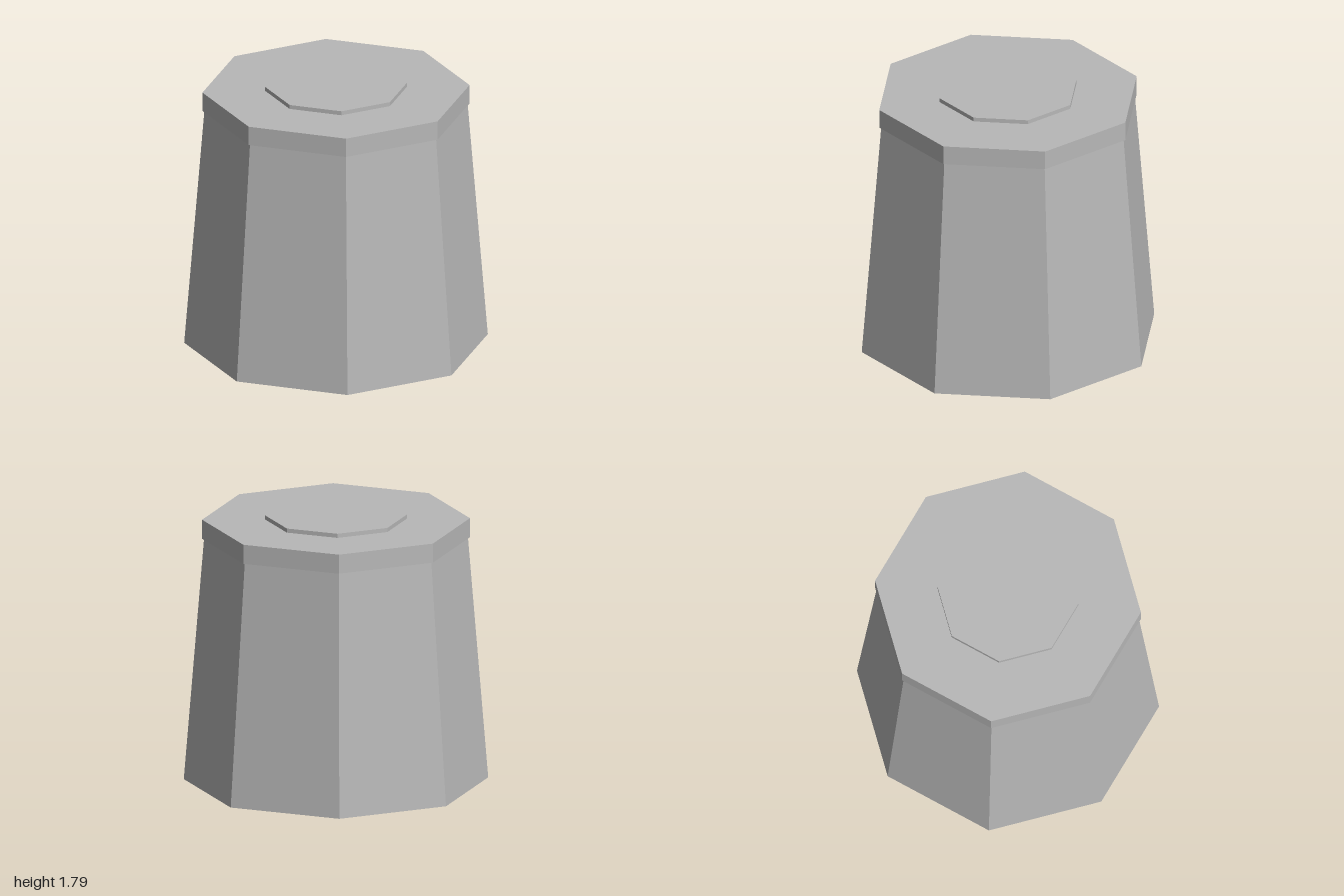
import * as THREE from 'three';

export function createModel() {
  const model = new THREE.Group();
  const grey = new THREE.MeshStandardMaterial({ color: 0xb8b8b8, flatShading: true });
  grey.name = 'grey';

  // Eight-sided section with corners on the x and z axes
  const addSection = (name, bottomRadius, topRadius, y0, y1) => {
    const geometry = new THREE.CylinderGeometry(topRadius, bottomRadius, y1 - y0, 8);
    const mesh = new THREE.Mesh(geometry, grey);
    mesh.name = name;
    mesh.position.y = (y0 + y1) / 2;
    model.add(mesh);
  };

  addSection('taperedBody', 1, 0.867, 0, 1.637); // main tapered body
  addSection('rim', 0.88, 0.88, 1.637, 1.767); // slightly overhanging cap
  addSection('topDisc', 0.467, 0.467, 1.767, 1.795); // low raised plate

  return model;
}
